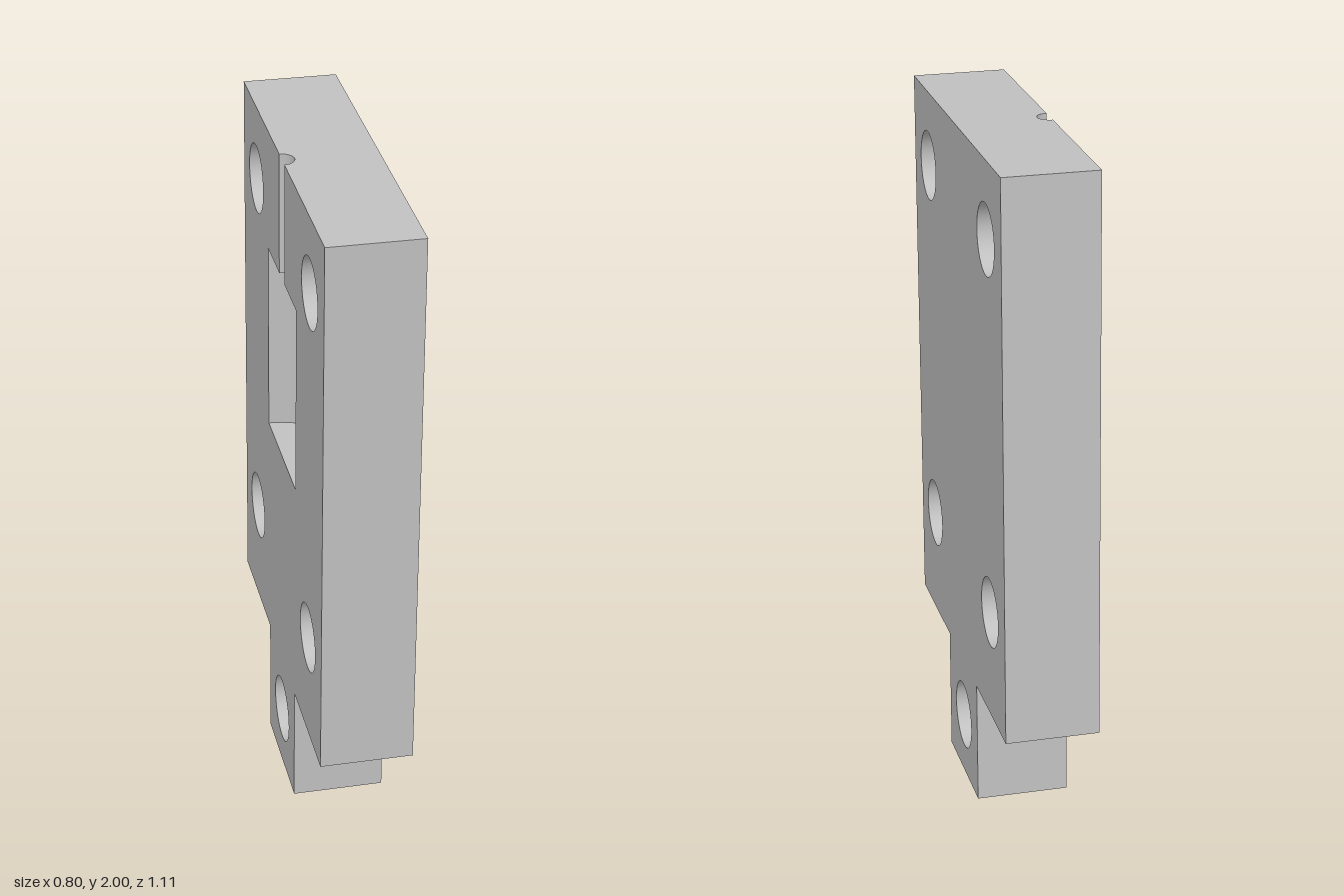
import * as THREE from 'three';

// Plate frame: x across, y up (0 = top edge), z out of the recessed face (0 = that face)
const W = 0.54, H = 1.613, TAB = 0.18, END = 1.979, T = 0.266;
const HOLE_R = 0.1, GROOVE_R = 0.035, POCKET_R = 0.19, POCKET_TOP = -0.355, POCKET_END = -0.915;
const HOLES = [[-0.36, -0.218], [0.36, -0.218], [-0.36, -1.296], [0.36, -1.296], [0, -1.794]];

// Turn a surface to face the other way
function flip(geo) {
  geo.index.array.reverse();
  const n = geo.attributes.normal;
  for (let i = 0; i < n.array.length; i++) n.array[i] *= -1;
  return geo;
}

function faceShape(points) {
  const shape = new THREE.Shape(points.map(([x, y]) => new THREE.Vector2(x, y)));
  for (const [x, y] of HOLES) shape.holes.push(new THREE.Path().absarc(x, y, HOLE_R, 0, Math.PI * 2, true));
  return new THREE.ShapeGeometry(shape, 16);
}

export function createModel() {
  const steel = new THREE.MeshStandardMaterial({ color: 0xc0c0c0, side: THREE.DoubleSide });
  steel.name = 'plain grey';
  const plate = new THREE.Group();
  plate.name = 'mountingPlate';
  const add = (name, geo, x = 0, y = 0, z = 0) => {
    const mesh = new THREE.Mesh(geo, steel);
    mesh.name = name;
    mesh.position.set(x, y, z);
    plate.add(mesh);
  };

  // Outline with the narrow tab, counter-clockwise from the top left
  const outline = [[-W, 0], [-W, -H], [-TAB, -H], [-TAB, -END], [TAB, -END], [TAB, -H], [W, -H], [W, 0]];
  // Opening of the groove and pocket, cut in from the top edge
  const opening = [
    [GROOVE_R, 0], [GROOVE_R, POCKET_TOP], [POCKET_R, POCKET_TOP], [POCKET_R, POCKET_END],
    [-POCKET_R, POCKET_END], [-POCKET_R, POCKET_TOP], [-GROOVE_R, POCKET_TOP], [-GROOVE_R, 0],
  ];
  add('recessedFace', faceShape([...outline, ...opening]));
  add('plainFace', flip(faceShape(outline)), 0, 0, -T);

  // Edge walls
  for (let i = 0; i < outline.length - 1; i++) {
    const [ax, ay] = outline[i], [bx, by] = outline[i + 1];
    const wall = new THREE.PlaneGeometry(Math.hypot(bx - ax, by - ay), T)
      .rotateX(Math.PI / 2).rotateZ(Math.atan2(by - ay, bx - ax));
    add('edgeWall', wall, (ax + bx) / 2, (ay + by) / 2, -T / 2);
  }

  // Top edge with the groove notch
  const top = new THREE.Shape();
  top.moveTo(-W, 0);
  top.lineTo(-GROOVE_R, 0);
  top.absarc(0, 0, GROOVE_R, Math.PI, 0, true);
  top.lineTo(W, 0);
  top.lineTo(W, T);
  top.lineTo(-W, T);
  add('topEdge', new THREE.ShapeGeometry(top, 16).rotateX(-Math.PI / 2));

  // Bolt holes
  for (const [x, y] of HOLES) {
    const bore = new THREE.CylinderGeometry(HOLE_R, HOLE_R, T, 32, 1, true).rotateX(Math.PI / 2);
    add('boltHole', flip(bore), x, y, -T / 2);
  }

  // Half-round groove and pocket
  const halfRound = (r, y0, y1) =>
    flip(new THREE.CylinderGeometry(r, r, y1 - y0, 32, 1, true, Math.PI / 2, Math.PI)).translate(0, (y0 + y1) / 2, 0);
  add('groove', halfRound(GROOVE_R, POCKET_TOP, 0));
  add('pocket', halfRound(POCKET_R, POCKET_END, POCKET_TOP));
  add('pocketFloor', new THREE.CircleGeometry(POCKET_R, 32, 0, Math.PI).rotateX(-Math.PI / 2), 0, POCKET_END);
  add('pocketCeiling', new THREE.RingGeometry(GROOVE_R, POCKET_R, 32, 1, Math.PI, Math.PI).rotateX(Math.PI / 2), 0, POCKET_TOP);

  // Stand the plate turned and slightly tilted
  const up = new THREE.Vector3(0.0165, 1, 0.025).normalize();
  const out = new THREE.Vector3(0.5, -0.03, 0.866).cross(up).normalize();
  const across = new THREE.Vector3().crossVectors(up, out);
  plate.quaternion.setFromRotationMatrix(new THREE.Matrix4().makeBasis(across, up, out));
  plate.position.set(-0.105, 1.984, 0.087);

  const model = new THREE.Group();
  model.name = 'model';
  model.add(plate);
  return model;
}
